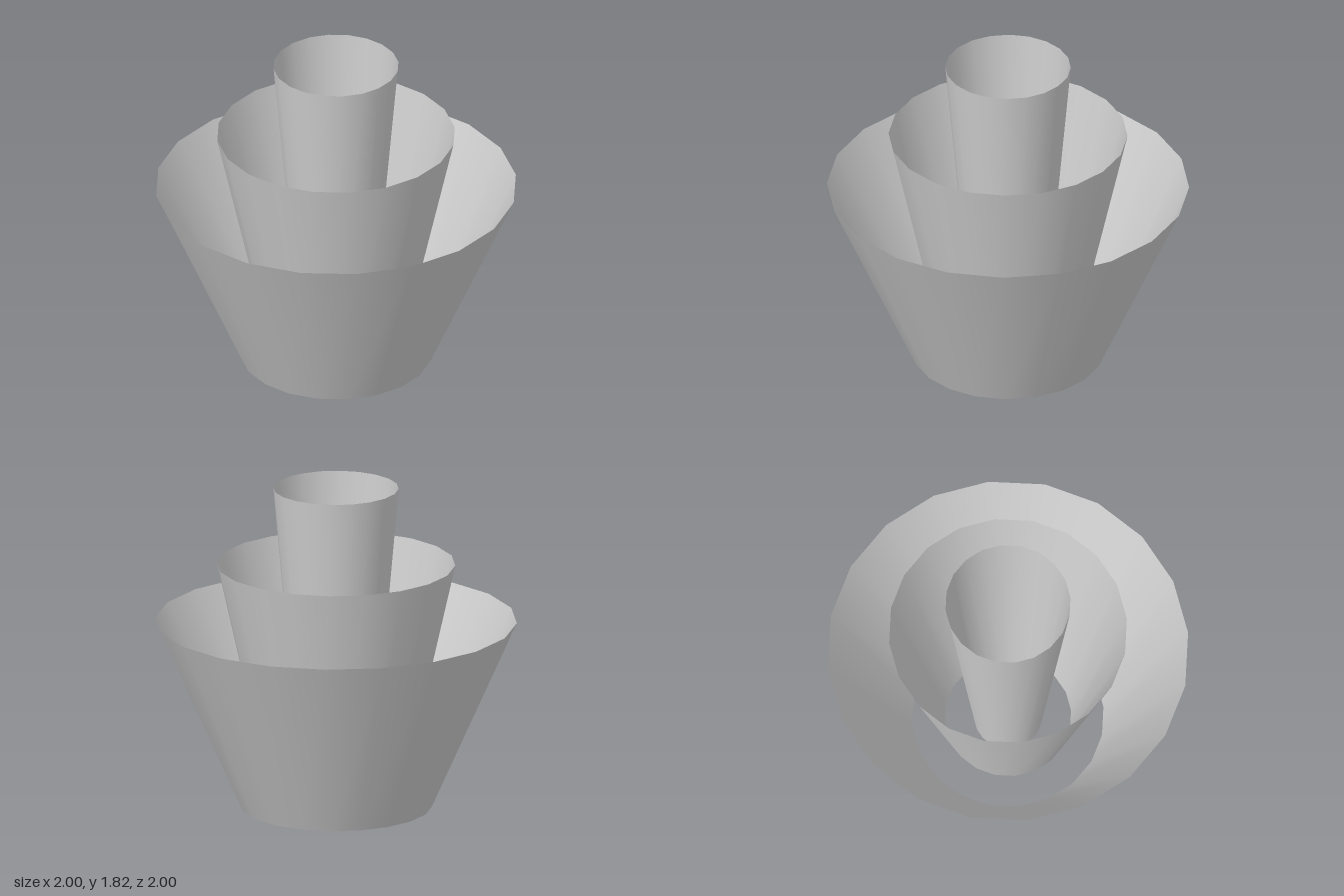
import * as THREE from 'three';

const SIDES = 20;

// Each shell: name, bottom radius, top radius, height
const SHELLS = [
  ['outerShell', 0.53, 1.0, 1.06],
  ['middleShell', 0.35, 0.66, 1.385],
  ['innerShell', 0.187, 0.347, 1.82],
];

export function createModel() {
  const group = new THREE.Group();
  group.name = 'nestedCones';
  const material = new THREE.MeshStandardMaterial({ color: 0xcccccc, side: THREE.DoubleSide });

  // Open, thin-walled tapered tubes nested on one axis, all standing on the ground
  for (const [name, bottom, top, height] of SHELLS) {
    const geometry = new THREE.CylinderGeometry(top, bottom, height, SIDES, 1, true);
    geometry.translate(0, height / 2, 0);
    const mesh = new THREE.Mesh(geometry, material);
    mesh.name = name;
    group.add(mesh);
  }
  return group;
}
